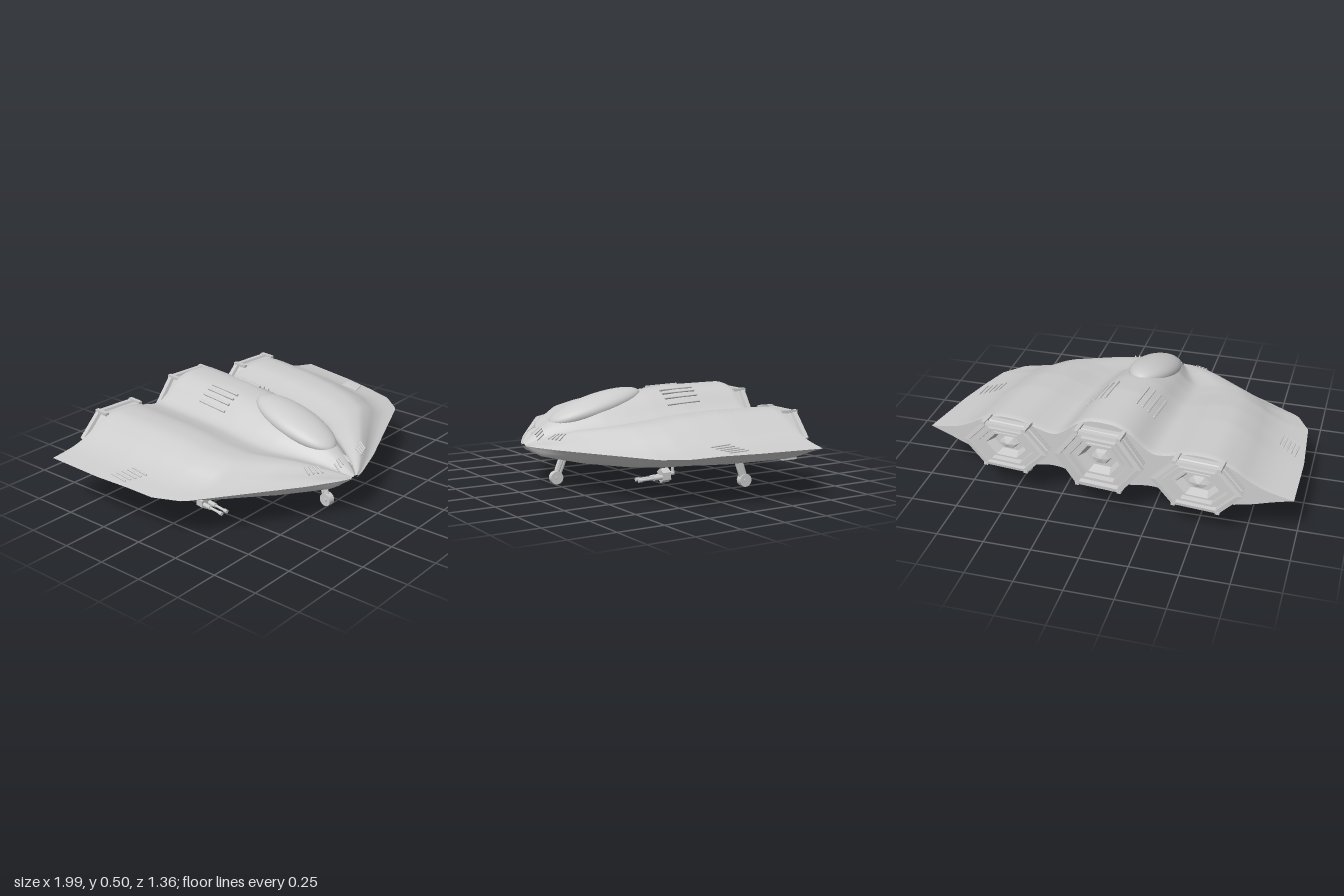
import * as THREE from 'three';
import { RoundedBoxGeometry } from 'three/addons/geometries/RoundedBoxGeometry.js';

const grey = new THREE.MeshStandardMaterial({ color: 0xcccccc });

// Piecewise linear lookup, keys rising
function table(points) {
  return (t) => {
    if (t <= points[0][0]) return points[0][1];
    for (let i = 1; i < points.length; i++) {
      const [a, va] = points[i - 1], [b, vb] = points[i];
      if (t <= b) return va + ((vb - va) * (t - a)) / (b - a);
    }
    return points[points.length - 1][1];
  };
}

// Smooth lookup through the same kind of points, mirrored about zero
function smoothTable(points) {
  const mirrored = [...points.slice(1).reverse().map(([u, v]) => [-u, v]), ...points];
  const curve = new THREE.SplineCurve(mirrored.map(([u, v]) => new THREE.Vector2(u, v)));
  return table(curve.getPoints(160).map((p) => [p.x, p.y]));
}

// Hull rules: half width, rim height, and upper and lower swelling along z
const halfWidth = table([[-0.537, 0.995], [-0.2, 0.967], [0.154, 0.91], [0.285, 0.825], [0.58, 0.263], [0.655, 0.09], [0.672, 0.03]]);
const rim = table([[-0.5, 0.268], [0, 0.262], [0.285, 0.248], [0.672, 0.225]]);
const swellTop = table([[-0.537, 0.97], [-0.52, 1], [-0.18, 1], [0, 0.93], [0.2, 0.8], [0.3, 0.72], [0.455, 0.57], [0.53, 0.45], [0.6, 0.28], [0.672, 0.04]]);
const swellBottom = table([[-0.537, 0.97], [-0.52, 1], [-0.2, 1], [0, 0.92], [0.2, 0.82], [0.455, 0.68], [0.62, 0.42], [0.672, 0.03]]);
// Cross-section: three humps above and below
const above = smoothTable([[0, 0.236], [0.08, 0.228], [0.15, 0.195], [0.22, 0.135], [0.28, 0.107], [0.36, 0.12], [0.45, 0.146], [0.53, 0.152],
  [0.61, 0.144], [0.7, 0.105], [0.78, 0.058], [0.87, 0.024], [1, 0]]);
const below = smoothTable([[0, 0.12], [0.12, 0.117], [0.27, 0.092], [0.4, 0.113], [0.53, 0.12], [0.65, 0.11], [0.78, 0.076], [0.9, 0.032], [1, 0]]);

const topAt = (x, z) => rim(z) + above(x / halfWidth(z)) * swellTop(z);
const bottomAt = (x, z) => rim(z) - below(x / halfWidth(z)) * swellBottom(z);

// Upper or lower skin as a grid of cross-sections
function skin(heightAt, upper) {
  const across = 100, rows = [-0.537, -0.52];
  for (let i = 1; i <= 60; i++) rows.push(-0.52 + (1.192 * i) / 60);
  const pos = [], index = [];
  rows.forEach((z, j) => {
    for (let i = 0; i <= across; i++) {
      const x = (-1 + (2 * i) / across) * halfWidth(z);
      pos.push(x, heightAt(x, z), z);
      if (j === rows.length - 1 || i === across) continue;
      const a = j * (across + 1) + i, b = a + 1, c = a + across + 1, d = c + 1;
      index.push(...(upper ? [a, c, b, b, c, d] : [a, b, c, b, d, c]));
    }
  });
  return surface(pos, index);
}

// Wall closing the hull at the back
function rearWall() {
  const n = 100, z = -0.537, pos = [], index = [];
  for (let i = 0; i <= n; i++) {
    const x = (-1 + (2 * i) / n) * halfWidth(z);
    pos.push(x, topAt(x, z), z, x, bottomAt(x, z), z);
    if (i < n) index.push(2 * i, 2 * i + 2, 2 * i + 1, 2 * i + 2, 2 * i + 3, 2 * i + 1);
  }
  return surface(pos, index);
}

function surface(pos, index) {
  const g = new THREE.BufferGeometry();
  g.setAttribute('position', new THREE.Float32BufferAttribute(pos, 3));
  g.setIndex(index);
  g.computeVertexNormals();
  return g;
}

function add(parent, name, geometry, x = 0, y = 0, z = 0) {
  const mesh = new THREE.Mesh(geometry, grey);
  mesh.name = name;
  mesh.position.set(x, y, z);
  parent.add(mesh);
  return mesh;
}

// Round bar between two points
function bar(parent, name, from, to, radius, sides = 10) {
  const a = new THREE.Vector3(...from), b = new THREE.Vector3(...to);
  const dir = b.clone().sub(a);
  const mesh = add(parent, name, new THREE.CylinderGeometry(radius, radius, dir.length(), sides));
  mesh.position.copy(a).add(b).multiplyScalar(0.5);
  mesh.quaternion.setFromUnitVectors(new THREE.Vector3(0, 1, 0), dir.normalize());
  return mesh;
}

// Row of raised slats lying on the upper skin
function vents(parent, name, side, x, z, count, step, length, width, stagger = 0) {
  for (let i = 0; i < count; i++) {
    const k = i - (count - 1) / 2;
    const px = side * (x + k * step), pz = z + k * stagger, e = 0.02;
    const along = new THREE.Vector3(0, topAt(px, pz + e) - topAt(px, pz - e), 2 * e).normalize();
    const cross = new THREE.Vector3(2 * e, topAt(px + e, pz) - topAt(px - e, pz), 0);
    const up = new THREE.Vector3().crossVectors(along, cross).normalize();
    cross.crossVectors(up, along);
    const slat = add(parent, name, new RoundedBoxGeometry(width, 0.014, length, 2, 0.004), px, topAt(px, pz), pz);
    slat.quaternion.setFromRotationMatrix(new THREE.Matrix4().makeBasis(cross, up, along));
  }
}

// Six-sided stepped nozzle facing backwards
function engine(parent, x, y, halfHeight) {
  const profile = [[0.22, 0.52], [0.23, 0.54], [0.23, 0.57], [0.218, 0.575], [0.218, 0.585], [0.24, 0.59], [0.24, 0.615], [0.21, 0.618],
    [0.205, 0.59], [0.185, 0.59], [0.182, 0.612], [0.16, 0.612], [0.155, 0.58], [0.135, 0.58], [0.132, 0.6], [0.115, 0.6],
    [0.09, 0.55], [0.055, 0.55], [0.045, 0.575], [0, 0.585]].map(([r, d]) => new THREE.Vector2(r, d));
  const g = new THREE.LatheGeometry(profile, 6, Math.PI / 2).toNonIndexed();
  g.rotateX(-Math.PI / 2);
  g.scale(1, halfHeight / (0.24 * Math.sin(Math.PI / 3)), 1);
  g.computeVertexNormals();
  add(parent, 'engineNozzle', g, x, y, 0);
  // Clamps on the flat top and bottom of the rim
  for (const sx of [-1, 1]) for (const sy of [-1, 1])
    add(parent, 'engineClamp', new THREE.BoxGeometry(0.022, 0.016, 0.09), x + sx * 0.115, y + sy * halfHeight * 0.97, -0.575);
}

// Leaning twin-strut leg with a wheel
function landingLeg(parent, name, x, z, lean) {
  const leg = new THREE.Group();
  leg.name = name;
  parent.add(leg);
  for (const d of [-0.014, 0.014])
    bar(leg, 'strut', [x, 0.035, z + d * 0.8], [x, 0.19, z + lean + d], 0.012);
  bar(leg, 'strutCore', [x, 0.05, z], [x, 0.19, z + lean], 0.014);
  bar(leg, 'wheel', [x - 0.018, 0.035, z], [x + 0.018, 0.035, z], 0.035, 24);
  bar(leg, 'axle', [x - 0.024, 0.035, z], [x + 0.024, 0.035, z], 0.012, 12);
}

// Twin-barrelled gun hung below the hull
function gun(parent, x, y, z) {
  const group = new THREE.Group();
  group.name = 'gun';
  group.position.set(x, y, z);
  group.rotation.x = 0.05;
  parent.add(group);
  bar(group, 'hanger', [0, 0, -0.05], [0, 0.16 - y + 0.01, -0.05], 0.008);
  bar(group, 'arm', [0, 0.005, -0.055], [0, 0.005, 0], 0.011);
  const body = new THREE.CylinderGeometry(0.038, 0.038, 0.045, 6).toNonIndexed();
  body.rotateX(Math.PI / 2);
  body.computeVertexNormals();
  add(group, 'gunBody', body);
  for (const s of [-1, 1]) {
    bar(group, 'barrel', [s * 0.018, -0.005, 0.02], [s * 0.018, -0.005, 0.15], 0.007);
    bar(group, 'barrelSleeve', [s * 0.018, -0.005, 0.02], [s * 0.018, -0.005, 0.07], 0.012);
    bar(group, 'muzzle', [s * 0.018, -0.005, 0.135], [s * 0.018, -0.005, 0.155], 0.01);
  }
}

export function createModel() {
  const model = new THREE.Group();
  model.name = 'spacecraft';
  // The craft stands slightly turned
  const craft = new THREE.Group();
  craft.name = 'craft';
  craft.position.x = -0.042;
  craft.rotation.y = -0.095;
  model.add(craft);

  add(craft, 'upperHull', skin(topAt, true));
  add(craft, 'lowerHull', skin(bottomAt, false));
  add(craft, 'rearWall', rearWall());

  const canopy = add(craft, 'canopy', new THREE.SphereGeometry(1, 48, 32), 0, 0.405, 0.26);
  canopy.scale.set(0.127, 0.068, 0.275);
  canopy.rotation.x = 0.27;

  engine(craft, 0, 0.312, 0.16);
  for (const side of [-1, 1]) {
    engine(craft, side * 0.52, 0.283, 0.128);
    vents(craft, 'backVent', side, 0.135, -0.19, 4, 0.033, 0.2, 0.014);
    vents(craft, 'wingVent', side, 0.858, -0.08, 5, 0.024, 0.11, 0.01, -0.012);
    vents(craft, 'shoulderVent', side, 0.185, 0.555, 4, 0.022, 0.05, 0.008, -0.01);
    vents(craft, 'noseVent', side, 0.035, 0.595, 3, 0.015, 0.05, 0.007);
    landingLeg(craft, 'rearLeg', side * 0.507, -0.383, 0.055);
  }
  landingLeg(craft, 'frontLeg', 0, 0.49, -0.06);
  gun(craft, 0.53, 0.108, 0.11);
  gun(craft, -0.53, 0.08, 0.11);
  return model;
}
